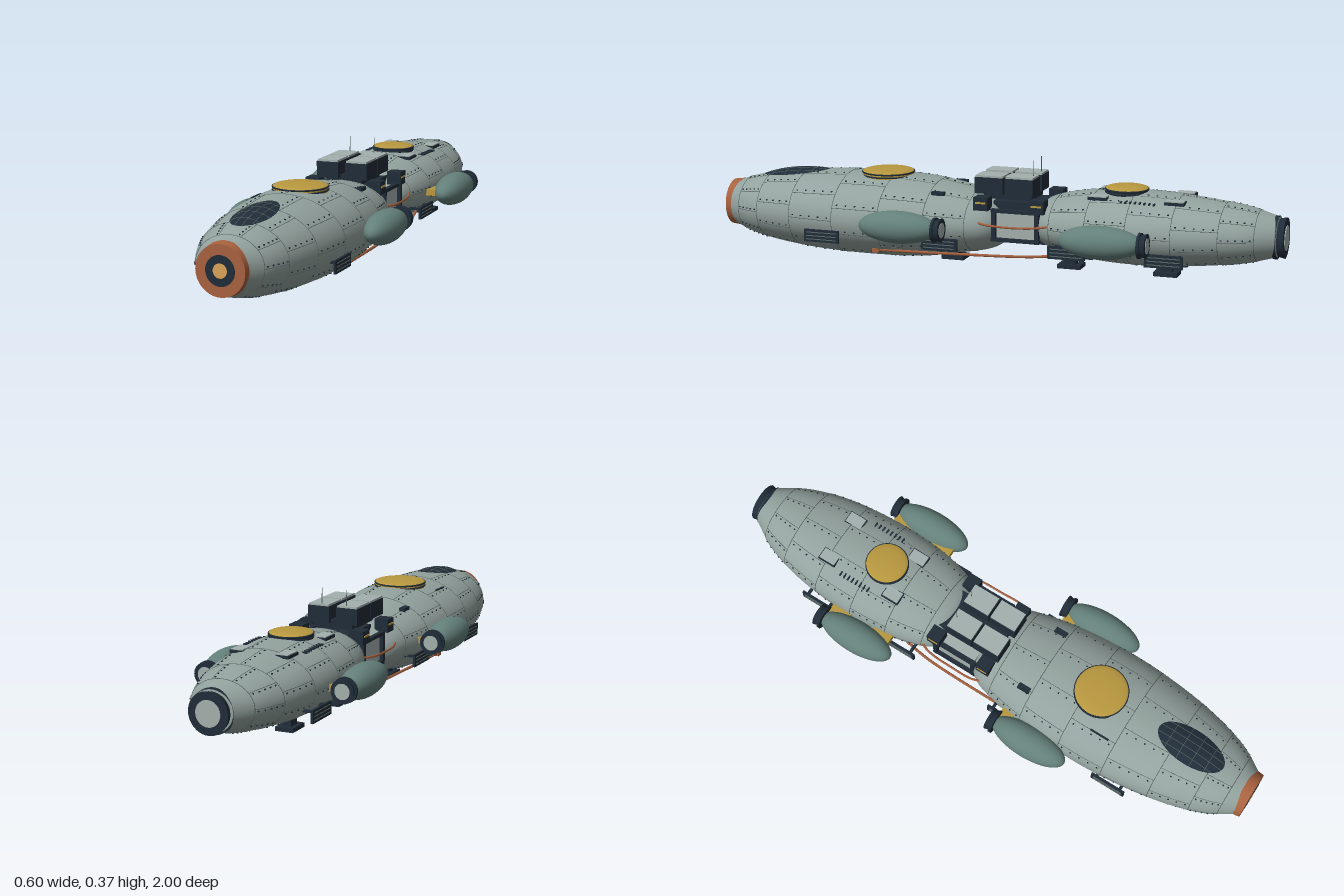
import * as THREE from 'three';
import { mergeGeometries } from 'three/addons/utils/BufferGeometryUtils.js';

const mat = (name, color) => Object.assign(new THREE.MeshStandardMaterial({ color }), { name });
const M = {
  hull: mat('hull grey', 0x93a29e), pod: mat('pod green', 0x64807a), dark: mat('dark navy', 0x202c38),
  copper: mat('copper', 0xa8623f), gold: mat('gold', 0xb8983f), lamp: mat('lamp amber', 0xd9a258),
  seam: mat('seam grey', 0x596764), plate: mat('plate grey', 0xa3b0ad),
};

// Hull sections from front to back: z, half width, half height
const hull = (cy, keys) => ({
  cy, pts: new THREE.CatmullRomCurve3(keys.map(k => new THREE.Vector3(k[1], k[2], k[0]))).getPoints(96),
});
const FRONT = hull(0.147, [[0.975, 0.084, 0.08], [0.9, 0.13, 0.104], [0.8, 0.165, 0.123], [0.65, 0.196, 0.138],
  [0.45, 0.213, 0.145], [0.25, 0.206, 0.137], [0.1, 0.182, 0.114], [0, 0.152, 0.092], [-0.05, 0.105, 0.06]]);
const REAR = hull(0.16, [[-0.17, 0.1, 0.06], [-0.2, 0.135, 0.083], [-0.3, 0.17, 0.108], [-0.45, 0.187, 0.122],
  [-0.6, 0.185, 0.12], [-0.75, 0.165, 0.108], [-0.88, 0.125, 0.09], [-0.975, 0.07, 0.066]]);

function size(h, z) {
  const i = Math.max(1, Math.min(h.pts.length - 1, h.pts.findIndex(p => p.z <= z)));
  const a = h.pts[i - 1], b = h.pts[i];
  return a.clone().lerp(b, THREE.MathUtils.clamp((a.z - z) / (a.z - b.z), 0, 1));
}
// Point on a hull at station z and angle a, lifted off the skin
function skin(h, z, a, lift = 0) {
  const s = size(h, z), n = new THREE.Vector3(Math.cos(a) / s.x, Math.sin(a) / s.y, 0).normalize();
  return new THREE.Vector3(s.x * Math.cos(a), h.cy + s.y * Math.sin(a), z).addScaledVector(n, lift);
}
const topY = (h, z, x) => {
  const s = size(h, z);
  return h.cy + s.y * Math.sqrt(Math.max(0, 1 - (x / s.x) ** 2));
};

// Closed loops of points joined into a surface
function loops(rows, cols, fn) {
  const pos = [], idx = [];
  for (let i = 0; i <= rows; i++) for (let j = 0; j < cols; j++) pos.push(...fn(i, j / cols * Math.PI * 2));
  for (let i = 0; i < rows; i++) for (let j = 0; j < cols; j++) {
    const k = (j + 1) % cols, a = i * cols + j, b = a + cols, c = b - j + k, d = i * cols + k;
    idx.push(a, b, d, b, c, d);
  }
  const g = new THREE.BufferGeometry();
  g.setAttribute('position', new THREE.Float32BufferAttribute(pos, 3));
  g.setIndex(idx);
  g.computeVertexNormals();
  return g;
}
const box = (w, h, d, x, y, z) => new THREE.BoxGeometry(w, h, d).translate(x, y, z);
const rod = (pts, r, closed = false, n = 24) =>
  new THREE.TubeGeometry(new THREE.CatmullRomCurve3(pts, closed), n, r, 5, closed);
const disc = (r0, r1, len, x, y, z) =>
  new THREE.CylinderGeometry(r0, r1, len, 40).rotateX(Math.PI / 2).translate(x, y, z);
const V = (x, y, z) => new THREE.Vector3(x, y, z);

export function createModel() {
  const root = new THREE.Group();
  const add = (name, geo, m) => {
    const mesh = new THREE.Mesh(Array.isArray(geo) ? mergeGeometries(geo) : geo, m);
    mesh.name = name;
    root.add(mesh);
  };

  // Hull skins, seams and rivets
  const seams = [], rivets = [];
  for (const [name, h, rings] of [['frontHull', FRONT, [0.93, 0.84, 0.7, 0.53, 0.36, 0.2, 0.06]],
    ['rearHull', REAR, [-0.23, -0.36, -0.5, -0.65, -0.8, -0.91]]]) {
    const n = h.pts.length;
    add(name, loops(n, 64, (i, a) => {
      const p = h.pts[Math.min(i, n - 1)], k = i === n ? 0.001 : 1;
      return [p.x * k * Math.cos(a), h.cy + p.y * k * Math.sin(a), p.z];
    }), M.hull);
    rings.forEach((z, r) => {
      const loop = [];
      for (let i = 0; i < 40; i++) loop.push(skin(h, z, i / 40 * Math.PI * 2));
      seams.push(rod(loop, 0.0012, true, 80));
      if (r === rings.length - 1) return;
      const end = rings[r + 1];
      for (let i = 0; i < 10; i++) {
        const a = (i + (r % 2) / 2) / 10 * Math.PI * 2, line = [];
        for (let k = 0; k <= 5; k++) line.push(skin(h, z + (end - z) * k / 5, a));
        seams.push(rod(line, 0.001, false, 8));
        for (let k = 0; k < 5; k++) {
          const p = skin(h, z + (end - z) * (k + 0.5) / 5, a + 0.07, 0.0005);
          rivets.push(box(0.004, 0.004, 0.005, p.x, p.y, p.z));
        }
      }
    });
  }
  add('hullSeams', seams, M.seam);
  add('rivets', rivets, M.dark);

  // Nose cap and tail nozzle
  add('noseCap', disc(0.081, 0.085, 0.035, 0, 0.147, 0.98).rotateZ(0), M.copper);
  add('noseRing', disc(0.048, 0.048, 0.004, 0, 0.147, 0.997), M.dark);
  add('noseLamp', disc(0.023, 0.023, 0.004, 0, 0.147, 0.998), M.lamp);
  add('tailNozzle', [disc(0.06, 0.068, 0.035, 0, 0.158, -0.98), disc(0.072, 0.072, 0.012, 0, 0.158, -0.967)], M.dark);
  add('tailNozzleCore', disc(0.042, 0.042, 0.004, 0, 0.158, -0.998), M.plate);

  // Canopy following the hull, with light glazing bars
  const glass = (z, x, lift = 0) => {
    const r2 = ((z - 0.75) / 0.125) ** 2 + (x / 0.062) ** 2;
    return V(x, topY(FRONT, z, x) + 0.001 + 0.009 * (1 - Math.min(1, r2)) + lift, z);
  };
  add('canopy', loops(10, 40, (i, a) => {
    const r = Math.max(i / 10, 0.001);
    return glass(0.75 + 0.125 * r * Math.cos(a), 0.062 * r * Math.sin(a)).toArray();
  }), M.dark);
  const bars = [];
  for (const u of [-0.6, -0.2, 0.2, 0.6]) {
    const e = Math.sqrt(1 - u * u), across = [], along = [];
    for (let k = -4; k <= 4; k++) {
      across.push(glass(0.75 + 0.125 * u, 0.062 * e * k / 4));
      along.push(glass(0.75 + 0.125 * e * k / 4, 0.062 * u));
    }
    bars.push(rod(across, 0.0011, false, 12), rod(along, 0.0011, false, 16));
  }
  add('canopyBars', bars, M.seam);

  // Gold domes on top
  for (const [name, h, z, r, y] of [['front', FRONT, 0.4, 0.09, 0.296], ['rear', REAR, -0.46, 0.072, 0.29]]) {
    const base = new THREE.CylinderGeometry(r, r, 0.03, 48).translate(0, y - 0.015, z);
    add(name + 'DomeBase', base, h === FRONT ? M.gold : M.dark);
    add(name + 'DomeRim', [0.002, 0.012].map(d =>
      new THREE.TorusGeometry(r, 0.003, 6, 48).rotateX(Math.PI / 2).translate(0, y - d, z)), M.dark);
    add(name + 'Dome', new THREE.SphereGeometry(r, 48, 12, 0, Math.PI * 2, 0, Math.PI / 2)
      .scale(1, 0.011 / r, 1).translate(0, y, z), M.gold);
  }

  // Small deck fittings
  const deck = [], plates = [];
  for (const s of [-1, 1]) {
    deck.push(box(0.02, 0.012, 0.045, s * 0.118, topY(FRONT, 0.17, 0.118) + 0.003, 0.17));
    for (const z of [-0.645, -0.385]) {
      const y = topY(REAR, z, 0.08);
      deck.push(box(0.046, 0.01, 0.066, s * 0.08, y, z));
      plates.push(box(0.04, 0.01, 0.06, s * 0.08, y + 0.003, z));
    }
    for (let i = 0; i < 8; i++) {
      const z = -0.58 + i * 0.016;
      deck.push(box(0.018, 0.006, 0.005, s * 0.108, topY(REAR, z, 0.108) + 0.002, z));
    }
  }
  deck.push(box(0.006, 0.006, 0.07, -0.125, topY(FRONT, 0.47, 0.125), 0.47));
  add('deckFittings', deck, M.dark);
  add('deckPlates', plates, M.plate);

  for (const s of [-1, 1]) {
    const side = s > 0 ? 'left' : 'right';

    // Side pods with nozzles and struts
    for (const [name, z, struts] of [['Front', 0.268, [0.155, 0.33]], ['Rear', -0.436, [-0.53, -0.365]]]) {
      const x = s * 0.243, y = 0.153;
      add(side + name + 'Pod', new THREE.SphereGeometry(1, 40, 28).scale(0.056, 0.055, 0.142).translate(x, y, z), M.pod);
      add(side + name + 'PodNozzle', [disc(0.034, 0.04, 0.022, x, y, z - 0.145), disc(0.042, 0.042, 0.009, x, y, z - 0.133)], M.dark);
      add(side + name + 'PodNozzleCore', disc(0.026, 0.026, 0.003, x, y, z - 0.156), M.plate);
      add(side + name + 'PodStruts', struts.map(q => box(0.09, 0.022, name === 'Rear' ? 0.075 : 0.045, s * 0.175, y, q)), M.gold);
    }

    // Hanging louvre panels low on the sides
    const frames = [], slats = [];
    for (const [z, x] of [[0.565, 0.211], [0.138, 0.197], [-0.303, 0.182], [-0.635, 0.192]]) {
      frames.push(box(0.008, 0.043, 0.128, s * x, 0.093, z));
      for (const d of [-0.045, 0.045]) frames.push(box(0.05, 0.008, 0.01, s * (x - 0.025), 0.105, z + d));
      for (let i = 0; i < 3; i++) slats.push(box(0.004, 0.003, 0.11, s * (x + 0.004), 0.081 + i * 0.012, z));
    }
    add(side + 'LouvrePanels', frames, M.dark);
    add(side + 'LouvreSlats', slats, M.seam);

    // Belly pads on short stems
    const pads = [], soles = [];
    for (const z of [0.125, -0.29, -0.62]) {
      pads.push(box(0.062, 0.014, 0.08, s * 0.075, 0.028, z), box(0.03, 0.06, 0.04, s * 0.075, 0.06, z));
      soles.push(box(0.04, 0.003, 0.056, s * 0.075, 0.0205, z));
    }
    add(side + 'BellyPads', pads, M.dark);
    add(side + 'BellyPadSoles', soles, M.seam);

    // Copper pipes between the hulls
    add(side + 'LongPipe', [rod([V(s * 0.155, 0.047, 0.39), V(s * 0.158, 0.055, 0.1), V(s * 0.155, 0.068, -0.2),
      V(s * 0.14, 0.085, -0.32)], 0.005), box(0.012, 0.014, 0.025, s * 0.158, 0.046, 0.385)], M.copper);
    add(side + 'UpperPipe', rod([V(s * 0.12, 0.175, 0.06), V(s * 0.158, 0.165, 0), V(s * 0.162, 0.16, -0.1),
      V(s * 0.155, 0.165, -0.2), V(s * 0.12, 0.175, -0.27)], 0.004), M.copper);

    // Coupling frame on each side
    const frame = [];
    for (const y of [0.108, 0.207]) frame.push(box(0.016, 0.012, 0.17, s * 0.123, y, -0.108));
    for (const z of [-0.032, -0.184]) frame.push(box(0.018, 0.11, 0.014, s * 0.123, 0.157, z));
    for (const z of [0.012, -0.185]) frame.push(box(0.05, 0.045, 0.05, s * 0.112, 0.228, z));
    add(side + 'CouplingFrame', frame, M.dark);
    add(side + 'CouplingTrim', [0.012, -0.185].map(z => box(0.003, 0.006, 0.036, s * 0.138, 0.232, z)), M.gold);

    // Roof equipment boxes, cover plates and aerial
    add(side + 'RoofBox', [-0.108, -0.002].map(z => box(0.078, 0.056, 0.1, s * 0.052, 0.283, z)), M.dark);
    add(side + 'RoofPlates', [-0.108, -0.002].map(z => box(0.072, 0.007, 0.096, s * 0.052, 0.314, z)), M.plate);
    add(side + 'Aerial', new THREE.CylinderGeometry(0.001, 0.0018, 0.06, 6).translate(s * 0.045, 0.341, -0.145), M.seam);
  }

  // Coupling core between the hulls
  add('couplingCore', box(0.236, 0.09, 0.15, 0, 0.158, -0.108), M.plate);
  add('couplingSpine', [box(0.15, 0.14, 0.19, 0, 0.16, -0.108), box(0.13, 0.03, 0.17, 0, 0.25, -0.06)], M.dark);
  return root;
}
